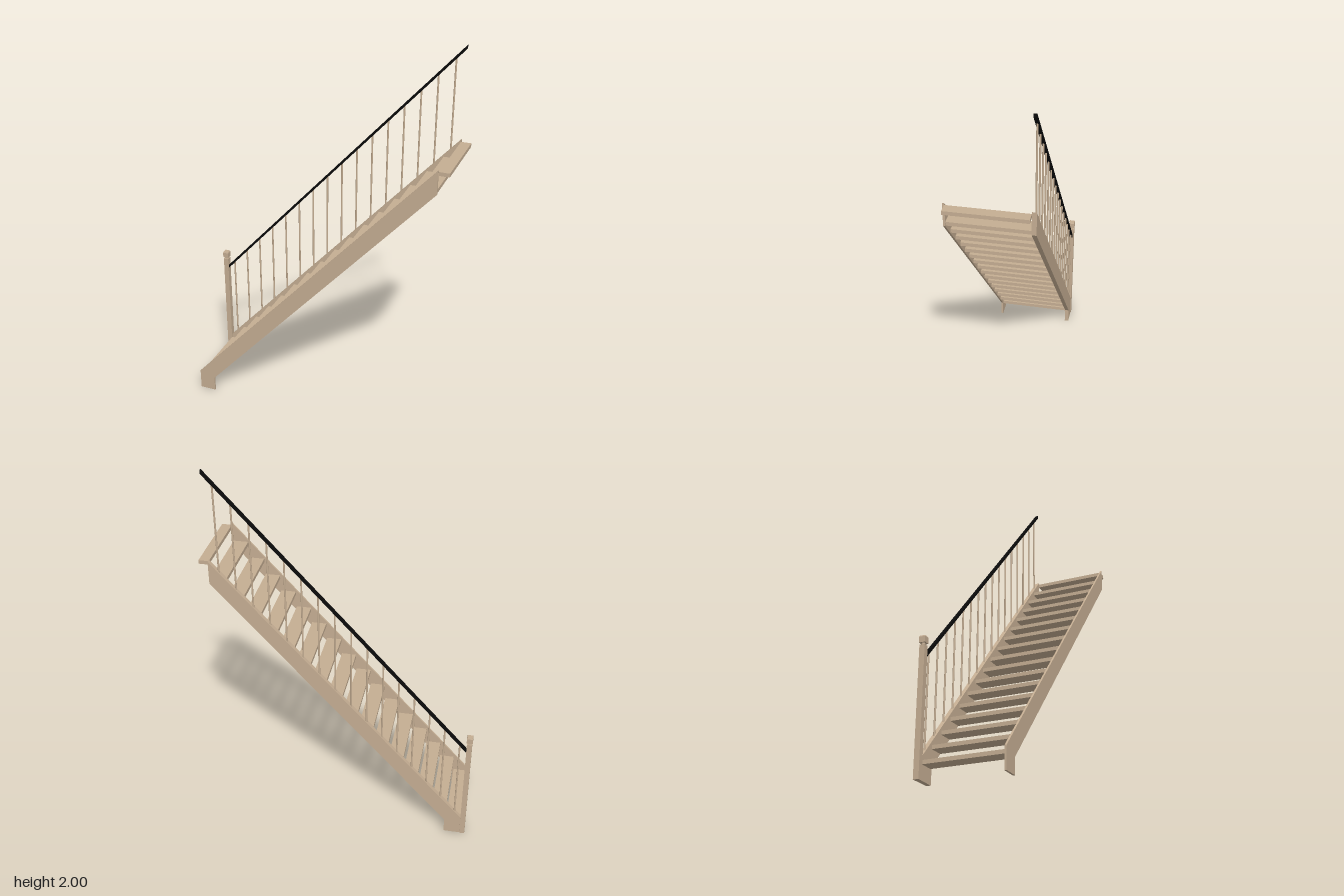
import * as THREE from 'three';

const wood = new THREE.MeshStandardMaterial({ color: 0xc4ad92 });
wood.name = 'paleWood';
const black = new THREE.MeshStandardMaterial({ color: 0x0a0a0a });
black.name = 'blackRail';

const SLOPE = 1.1025;
const STEPS = 17;
const RAIL_Z = -0.197;

export function createModel() {
  const group = new THREE.Group();
  group.name = 'staircase';

  const add = (name, geometry, material, x = 0, y = 0, z = 0) => {
    const mesh = new THREE.Mesh(geometry, material);
    mesh.name = name;
    mesh.position.set(x, y, z);
    group.add(mesh);
    return mesh;
  };

  // Side profile in x/y, extruded between two z values
  const slab = (name, points, z0, z1, material) => {
    const shape = new THREE.Shape(points.map(([x, y]) => new THREE.Vector2(x, y)));
    const geometry = new THREE.ExtrudeGeometry(shape, { depth: z1 - z0, bevelEnabled: false });
    add(name, geometry, material, 0, 0, z0);
  };

  // Stringers: a thin one at the front, a thicker one under the railing
  const stringer = [
    [-0.66, 0], [-0.575, 0], [-0.575, 0.08],
    [0.633, 1.414], [0.633, 1.533], [-0.66, 0.108],
  ];
  slab('frontStringer', stringer, 0.199, 0.209, wood);
  slab('backStringer', stringer, -0.208, -0.186, wood);

  // Open treads, the last one a narrow landing nosing
  for (let i = 0; i < STEPS; i++) {
    const depth = i === STEPS - 1 ? 0.051 : 0.077;
    const x = -0.66 + i * 0.0809 + depth / 2;
    add(i === STEPS - 1 ? 'landingNosing' : 'tread',
      new THREE.BoxGeometry(depth, 0.019, 0.387), wood, x, 0.08 + i * 0.0897, 0.0065);
  }

  // Newel post with neck and chamfered cap
  const postX = -0.674;
  add('newelPost', new THREE.BoxGeometry(0.027, 0.615, 0.027), wood, postX, 0.3075, RAIL_Z);
  add('newelNeck', new THREE.CylinderGeometry(0.009, 0.009, 0.014, 16), wood, postX, 0.62, RAIL_Z);
  add('newelCap', new THREE.BoxGeometry(0.031, 0.028, 0.031), wood, postX, 0.639, RAIL_Z);
  const capTop = new THREE.CylinderGeometry(0.013 * Math.SQRT2, 0.0155 * Math.SQRT2, 0.006, 4).toNonIndexed();
  capTop.rotateY(Math.PI / 4);
  capTop.computeVertexNormals();
  add('newelCapTop', capTop, wood, postX, 0.656, RAIL_Z);

  // Sloping handrail
  slab('handrail', [[-0.66, 0.558], [0.633, 1.982], [0.633, 2], [-0.66, 0.576]],
    RAIL_Z - 0.008, RAIL_Z + 0.008, black);

  // Balusters between stringer and handrail
  for (let i = 0; i < 16; i++) {
    const x = -0.625 + i * 0.0806;
    const bottom = 0.1 + SLOPE * (x + 0.66);
    const top = 0.565 + SLOPE * (x + 0.66);
    add('baluster', new THREE.CylinderGeometry(0.0045, 0.0045, top - bottom, 12), wood,
      x, (top + bottom) / 2, RAIL_Z);
  }

  return group;
}
